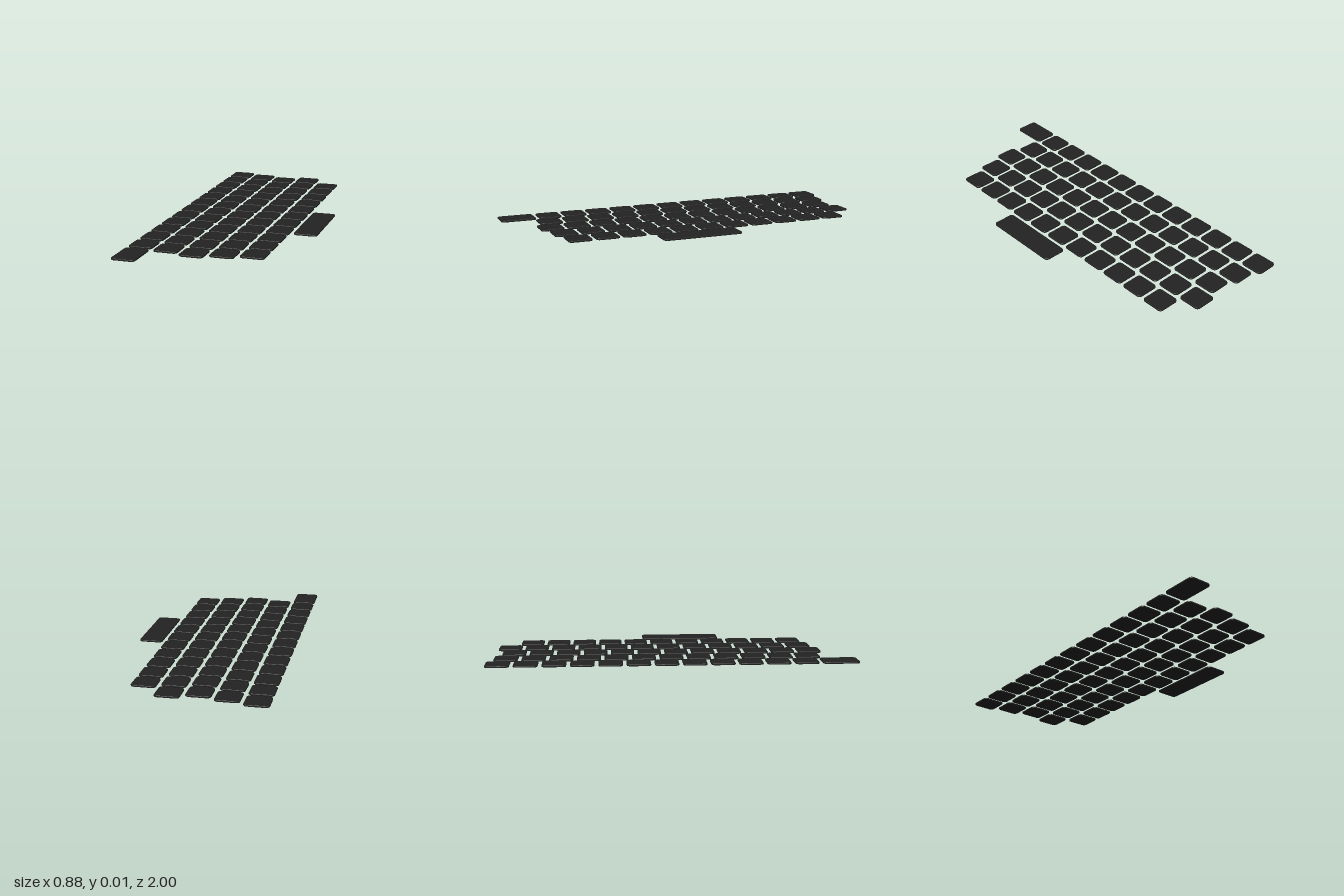
import * as THREE from 'three';

const PITCH = 0.15, KEY = 0.13, HEIGHT = 0.01, BEVEL = 0.003, RADIUS = 0.02;
const material = new THREE.MeshStandardMaterial({ color: 0x222222 });

// Flat key tile with rounded corners and softened edges, standing on y = 0
function keyGeometry(length) {
  const w = KEY / 2 - BEVEL, l = length / 2 - BEVEL, r = RADIUS - BEVEL;
  const shape = new THREE.Shape();
  shape.absarc(w - r, l - r, r, 0, Math.PI / 2);
  shape.absarc(r - w, l - r, r, Math.PI / 2, Math.PI);
  shape.absarc(r - w, r - l, r, Math.PI, Math.PI * 1.5);
  shape.absarc(w - r, r - l, r, Math.PI * 1.5, Math.PI * 2);
  return new THREE.ExtrudeGeometry(shape, {
    depth: HEIGHT - 2 * BEVEL, bevelThickness: BEVEL, bevelSize: BEVEL,
    bevelSegments: 3, curveSegments: 6,
  }).rotateX(-Math.PI / 2).translate(0, BEVEL, 0);
}

export function createModel() {
  const model = new THREE.Group();
  model.name = 'keyboardKeys';
  const square = keyGeometry(KEY);

  const addKey = (row, geometry, name, x, z) => {
    const key = new THREE.Mesh(geometry, material);
    key.name = name;
    key.position.set(x, 0, z);
    row.add(key);
  };

  // Rows run along z, staggered: back edge of the first key, count of square keys
  const rows = [
    { name: 'numberRow', start: -1, count: 12 },
    { name: 'upperRow', start: -0.967, count: 12 },
    { name: 'homeRow', start: -0.933, count: 12 },
    { name: 'lowerRow', start: -0.967, count: 12 },
    { name: 'bottomRow', start: -0.85, count: 11 },
    { name: 'spaceRow', start: 0, count: 0 },
  ];
  rows.forEach(({ name, start, count }, i) => {
    const row = new THREE.Group();
    row.name = name;
    const x = (i - 2.5) * PITCH;
    for (let k = 0; k < count; k++) {
      addKey(row, square, 'key', x, start + KEY / 2 + k * PITCH);
    }
    // Longer keys: end of the first row and the lone space bar
    if (name === 'numberRow') addKey(row, keyGeometry(0.2), 'wideKey', x, 0.9);
    if (name === 'spaceRow') addKey(row, keyGeometry(0.45), 'spaceBar', x, 0.083);
    model.add(row);
  });
  return model;
}
